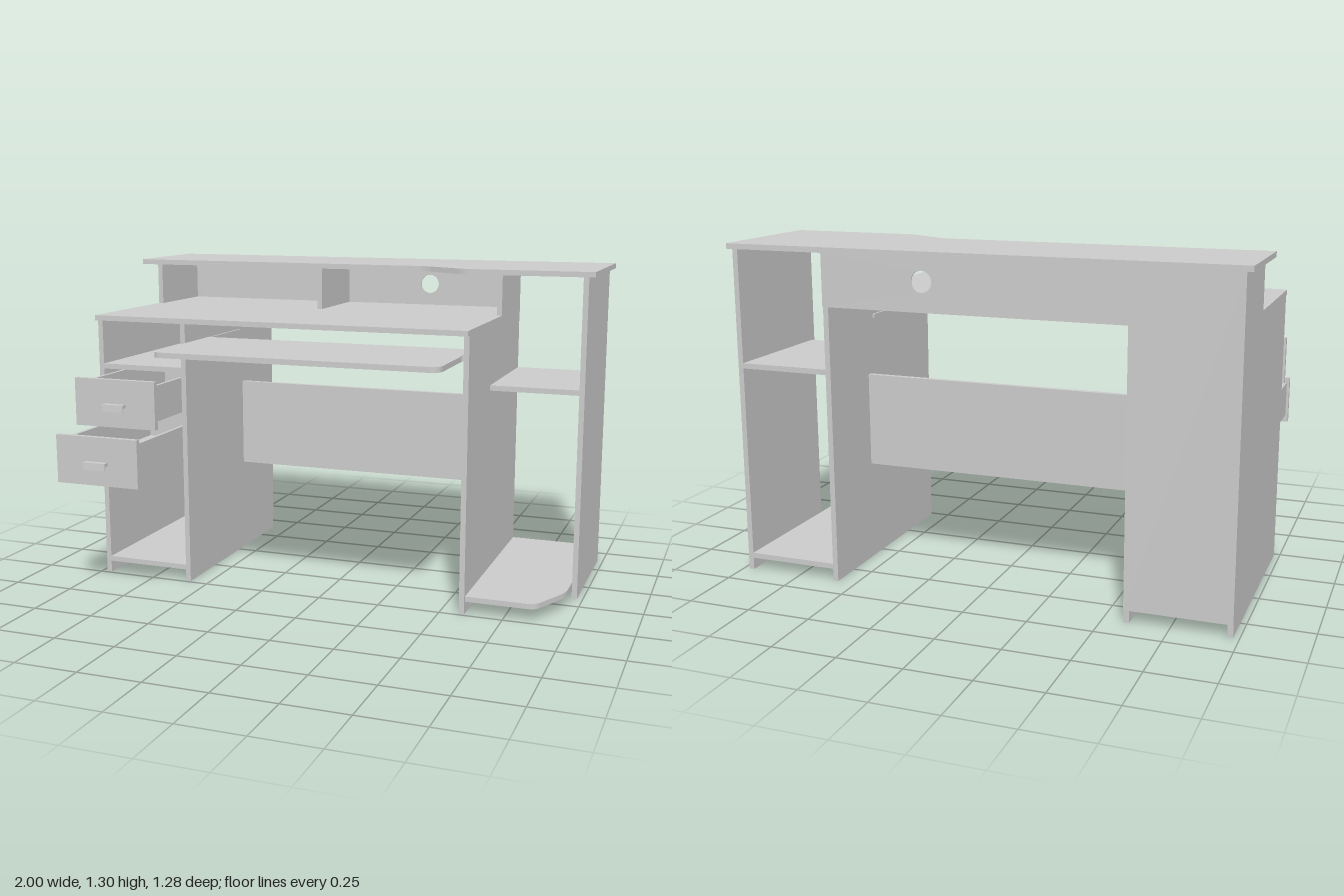
import * as THREE from 'three';

const mat = new THREE.MeshStandardMaterial({ color: 0xcccccc, flatShading: true });
const T = 0.021; // board thickness
const BACK = -0.635; // rear edge of the boards

export function createModel() {
  const model = new THREE.Group();
  model.name = 'computerDesk';

  function add(parent, name, geometry) {
    const mesh = new THREE.Mesh(geometry, mat);
    mesh.name = name;
    parent.add(mesh);
    return mesh;
  }

  // Box given by its limits on each axis
  function board(name, [x0, x1], [y0, y1], [z0, z1], parent = model) {
    const mesh = add(parent, name, new THREE.BoxGeometry(x1 - x0, y1 - y0, z1 - z0));
    mesh.position.set((x0 + x1) / 2, (y0 + y1) / 2, (z0 + z1) / 2);
    return mesh;
  }

  // Horizontal slab from an outline of [x, z] points, optionally [x, z, cornerRadius]
  function slab(name, points, y, thickness = T) {
    const shape = new THREE.Shape();
    points.forEach(([x, z, r = 0], i) => {
      const p = new THREE.Vector2(x, -z);
      const toward = (q) => p.clone().add(new THREE.Vector2(q[0], -q[1]).sub(p).setLength(r));
      const a = toward(points[(i + points.length - 1) % points.length]);
      const b = toward(points[(i + 1) % points.length]);
      if (i === 0) shape.moveTo(a.x, a.y);
      else shape.lineTo(a.x, a.y);
      if (r > 0) shape.quadraticCurveTo(p.x, p.y, b.x, b.y);
    });
    shape.closePath();
    const geo = new THREE.ExtrudeGeometry(shape, { depth: thickness, bevelEnabled: false, curveSegments: 6 });
    geo.rotateX(-Math.PI / 2);
    add(model, name, geo).position.y = y;
  }

  // Raised top with the stepped front edge
  slab('raisedTop', [
    [-1, -0.641], [-1, -0.195], [0.3, -0.195, 0.03], [0.48, -0.095, 0.03], [1, -0.095], [1, -0.641],
  ], 1.283);

  // Main work surface
  board('desktop', [-0.977, 0.597], [1.082, 1.103], [BACK, 0.26]);

  // Upright panels of the drawer pedestal and the open side unit
  for (const [name, x] of [['pedestalOuterPanel', -0.977], ['pedestalInnerPanel', -0.6], ['sideUnitInnerPanel', 0.576]]) {
    board(name, [x, x + T], [0, 1.082], [BACK, 0.238]);
  }
  board('sideUnitOuterPanel', [0.956, 0.977], [0, 1.283], [BACK, -0.09]);

  // Short uprights that carry the raised top
  for (const x of [-0.977, -0.21, 0.576]) {
    board('topUpright', [x, x + T], [1.103, 1.283], [BACK, -0.29]);
  }

  // Back board: pedestal back and upper band in one piece, with a cable hole
  const back = new THREE.Shape([
    [-0.977, 0.048], [-0.579, 0.048], [-0.579, 1.082], [0.597, 1.082], [0.597, 1.283], [-0.977, 1.283],
  ].map(([x, y]) => new THREE.Vector2(x, y)));
  const hole = new THREE.Path();
  hole.absarc(0.192, 1.195, 0.04, 0, Math.PI * 2, true);
  back.holes.push(hole);
  add(model, 'backBoard', new THREE.ExtrudeGeometry(back, { depth: 0.005, bevelEnabled: false, curveSegments: 24 }))
    .position.z = -0.64;

  // Modesty panel across the knee space
  board('modestyPanel', [-0.579, 0.576], [0.395, 0.765], [-0.33, -0.309]);

  // Shelves
  board('pedestalBottomShelf', [-0.956, -0.6], [0.048, 0.069], [BACK, 0.238]);
  board('pedestalUpperShelf', [-0.956, -0.6], [0.88, 0.901], [BACK, 0.238]);
  board('sideUnitShelf', [0.597, 0.956], [0.822, 0.843], [BACK, -0.11]);
  slab('sideUnitBottomShelf', [
    [0.597, BACK], [0.597, 0.228], [0.87, 0.228, 0.03], [0.956, 0.045, 0.03], [0.956, BACK],
  ], 0.048);

  // Sliding keyboard tray and its rails
  slab('keyboardTray', [
    [-0.571, 0.04], [-0.571, 0.537, 0.045], [0.568, 0.537, 0.045], [0.568, 0.04],
  ], 0.984);
  board('trayRail', [-0.579, -0.571], [0.986, 1.002], [-0.28, 0.238]);
  board('trayRail', [0.568, 0.576], [0.986, 1.002], [-0.28, 0.238]);

  // Drawers, each pulled out by its own amount; z is the back face of the front
  function drawer(name, y, z) {
    const g = new THREE.Group();
    g.name = name;
    const rear = -0.7;
    board('drawerFront', [-0.956, -0.601], [0, 0.192], [0, 0.022], g);
    board('drawerBottom', [-0.932, -0.623], [0.034, 0.053], [rear, 0], g);
    for (const x of [-0.946, -0.623]) {
      board('drawerSide', [x, x + 0.014], [0.03, 0.173], [rear, 0], g);
    }
    board('drawerBack', [-0.932, -0.623], [0.053, 0.173], [rear, rear + 0.015], g);

    // Hooked pull, profile in (z, y)
    const pull = new THREE.Shape([
      [0.022, 0.082], [0.038, 0.082], [0.043, 0.066], [0.047, 0.066], [0.045, 0.095], [0.022, 0.095],
    ].map(([pz, py]) => new THREE.Vector2(-pz, py)));
    const geo = new THREE.ExtrudeGeometry(pull, { depth: 0.094, bevelEnabled: false });
    geo.rotateY(Math.PI / 2);
    add(g, 'drawerPull', geo).position.x = -0.825;

    g.position.set(0, y, z);
    model.add(g);
    return g;
  }
  drawer('upperDrawer', 0.684, 0.443);
  drawer('lowerDrawer', 0.482, 0.593);

  return model;
}
